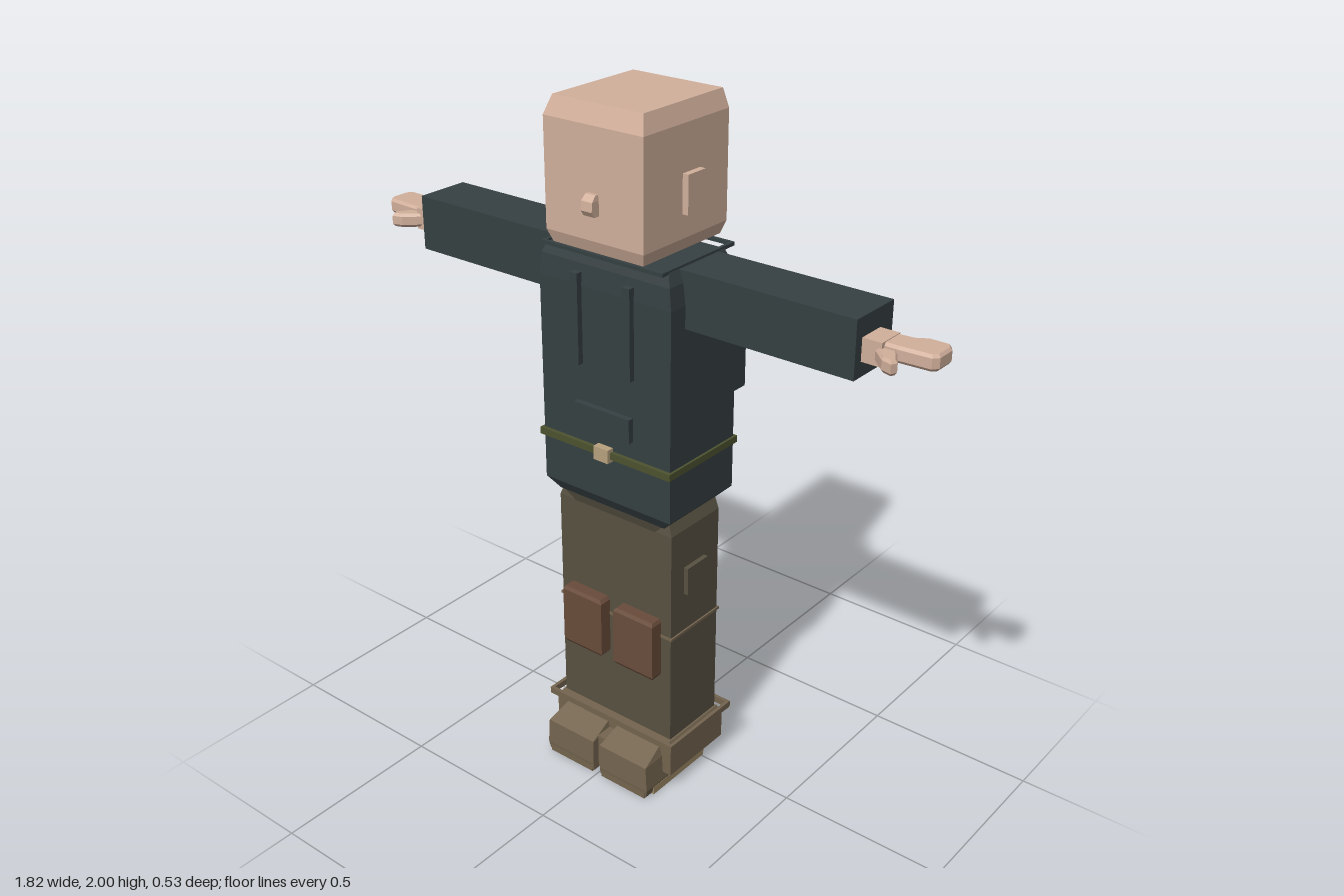
import * as THREE from 'three';

const mat = (name, color) => {
  const m = new THREE.MeshStandardMaterial({ color });
  m.name = name;
  return m;
};

export function createModel() {
  const skin = mat('skin', 0xd2b09c);
  const jacket = mat('jacket', 0x364042);
  const trousers = mat('trousers', 0x585142);
  const leather = mat('boot leather', 0x74654f);
  const sole = mat('sole', 0x9c8867);
  const kneeBrown = mat('knee brown', 0x694c3b);
  const beltGreen = mat('belt green', 0x4c522f);
  const brass = mat('brass', 0xb8a27e);

  const root = new THREE.Group();
  root.name = 'figure';
  const add = (name, geo, material, parent = root) => {
    const m = new THREE.Mesh(geo, material);
    m.name = name;
    parent.add(m);
    return m;
  };

  // Box given by its limits
  const box = (name, material, x0, x1, y0, y1, z0, z1, parent) => {
    const g = new THREE.BoxGeometry(x1 - x0, y1 - y0, z1 - z0);
    g.translate((x0 + x1) / 2, (y0 + y1) / 2, (z0 + z1) / 2);
    return add(name, g, material, parent);
  };

  // Stack of rectangles [y, x0, x1, z0, z1], joined from bottom to top
  const loft = (rows) => {
    const rings = rows.map(([y, x0, x1, z0, z1]) =>
      [[x0, y, z1], [x1, y, z1], [x1, y, z0], [x0, y, z0]]);
    const pos = [];
    const quad = (a, b, c, d) => pos.push(...a, ...b, ...c, ...a, ...c, ...d);
    for (let i = 0; i + 1 < rings.length; i++) {
      const a = rings[i], b = rings[i + 1];
      for (let k = 0; k < 4; k++) {
        const n = (k + 1) % 4;
        quad(a[k], a[n], b[n], b[k]);
      }
    }
    const lo = rings[0], hi = rings[rings.length - 1];
    quad(hi[0], hi[1], hi[2], hi[3]);
    quad(lo[3], lo[2], lo[1], lo[0]);
    const g = new THREE.BufferGeometry();
    g.setAttribute('position', new THREE.Float32BufferAttribute(pos, 3));
    g.computeVertexNormals();
    return g;
  };

  // Thin rectangular hoop standing slightly off the body
  const hoop = (name, material, w, z0, z1, y0, y1, t = 0.01) => {
    const g = new THREE.Group();
    g.name = name;
    root.add(g);
    box('hoopFront', material, -w, w, y0, y1, z1 - t, z1, g);
    box('hoopBack', material, -w, w, y0, y1, z0, z0 + t, g);
    for (const s of [-1, 1]) {
      const c = s * (w - t / 2);
      box('hoopSide', material, c - t / 2, c + t / 2, y0, y1, z0 + t, z1 - t, g);
    }
  };

  // Head
  add('head', loft([
    [1.62, -0.148, 0.148, -0.095, 0.22],
    [1.655, -0.16, 0.16, -0.107, 0.233],
    [1.95, -0.16, 0.16, -0.107, 0.233],
    [2.0, -0.145, 0.145, -0.1, 0.213],
  ]), skin);
  add('nose', loft([
    [1.725, -0.018, 0.018, 0.22, 0.25],
    [1.74, -0.018, 0.018, 0.22, 0.26],
    [1.765, -0.018, 0.018, 0.22, 0.258],
    [1.78, -0.016, 0.016, 0.22, 0.243],
  ]), skin);
  box('neck', skin, -0.055, 0.055, 1.58, 1.63, 0, 0.105);

  // Jacket
  add('torso', loft([
    [0.87, -0.185, 0.185, -0.055, 0.18],
    [0.905, -0.22, 0.22, -0.077, 0.2],
    [1.51, -0.22, 0.22, -0.077, 0.2],
    [1.57, -0.213, 0.213, -0.06, 0.197],
    [1.605, -0.2, 0.2, -0.045, 0.185],
  ]), jacket);
  hoop('collar', jacket, 0.2, -0.09, 0.21, 1.6, 1.61);
  box('chestPouch', jacket, -0.095, 0.095, 1.11, 1.18, 0.195, 0.217);
  hoop('belt', beltGreen, 0.227, -0.086, 0.212, 1.04, 1.06, 0.012);
  box('buckle', brass, -0.025, 0.025, 1.03, 1.07, 0.2, 0.222);

  // Backpack with three ridges
  box('backpack', jacket, -0.128, 0.128, 1.12, 1.495, -0.256, -0.113);
  for (const y of [1.19, 1.26, 1.33]) {
    box('packRidge', jacket, -0.11, 0.11, y - 0.008, y + 0.008, -0.264, -0.25);
  }

  // Trousers
  add('hips', loft([
    [0.835, -0.14, 0.14, -0.045, 0.166],
    [0.885, -0.19, 0.19, -0.055, 0.182],
    [0.9, -0.19, 0.19, -0.055, 0.182],
  ]), trousers);
  add('legs', loft([
    [0.13, -0.2, 0.2, -0.045, 0.167],
    [0.84, -0.2, 0.2, -0.045, 0.167],
    [0.88, -0.185, 0.185, -0.045, 0.16],
  ]), trousers);
  hoop('kneeSeam', leather, 0.205, -0.05, 0.17, 0.507, 0.515);

  // Boots
  hoop('bootTrim', leather, 0.232, -0.08, 0.203, 0.155, 0.175);
  add('bootCuffs', loft([
    [0.055, -0.217, 0.217, -0.06, 0.186],
    [0.14, -0.217, 0.217, -0.06, 0.186],
    [0.165, -0.205, 0.205, -0.05, 0.178],
  ]), leather);

  // Fingers and thumb outline, in x and z
  const palm = [[0.76, 0.035], [0.81, 0.03], [0.84, 0.012], [0.895, 0.012], [0.908, 0.03],
    [0.908, 0.085], [0.895, 0.1], [0.81, 0.105], [0.76, 0.105]];
  const thumb = [[0.755, 0.075], [0.79, 0.075], [0.833, 0.145], [0.825, 0.162],
    [0.795, 0.153], [0.755, 0.115]];
  const plate = (pts, y0, y1) => {
    const g = new THREE.ExtrudeGeometry(
      new THREE.Shape(pts.map(([x, z]) => new THREE.Vector2(x, z))),
      { depth: y1 - y0 - 0.016, bevelThickness: 0.008, bevelSize: 0.006, bevelOffset: -0.006, bevelSegments: 1 });
    g.rotateX(Math.PI / 2);
    g.translate(0, y1 - 0.008, 0);
    return g;
  };

  // Parts repeated on both sides
  for (const [side, s] of [['left', 1], ['right', -1]]) {
    const half = new THREE.Group();
    half.name = side + 'Side';
    half.scale.x = s;
    root.add(half);
    box('ear', skin, 0.155, 0.178, 1.72, 1.825, 0.01, 0.08, half);
    box('sleeve', jacket, 0.2, 0.718, 1.447, 1.603, -0.02, 0.142, half);
    box('wrist', skin, 0.71, 0.772, 1.488, 1.55, 0.035, 0.115, half);
    add('hand', plate(palm, 1.505, 1.548), skin, half);
    add('thumb', plate(thumb, 1.495, 1.535), skin, half);
    box('chestStrap', jacket, 0.075, 0.1, 1.29, 1.547, 0.185, 0.217, half);
    box('sidePocket', trousers, 0.195, 0.214, 0.635, 0.72, 0.02, 0.11, half);
    add('kneePad', loft([
      [0.375, 0.03, 0.16, 0.16, 0.2],
      [0.385, 0.022, 0.165, 0.16, 0.206],
      [0.555, 0.022, 0.165, 0.16, 0.206],
      [0.565, 0.03, 0.16, 0.16, 0.2],
    ]), kneeBrown, half);
    add('bootToe', loft([
      [0.006, 0.012, 0.185, -0.005, 0.26],
      [0.03, 0.012, 0.19, -0.005, 0.263],
      [0.11, 0.012, 0.185, -0.005, 0.262],
      [0.142, 0.018, 0.175, -0.005, 0.185],
    ]), leather, half);
    box('bootSole', sole, 0.018, 0.19, 0, 0.025, -0.008, 0.23, half);
    box('toeBase', leather, 0.018, 0.18, 0, 0.02, 0.23, 0.262, half);
  }
  box('bootBridge', leather, -0.02, 0.02, 0.01, 0.12, 0, 0.24);

  return root;
}
